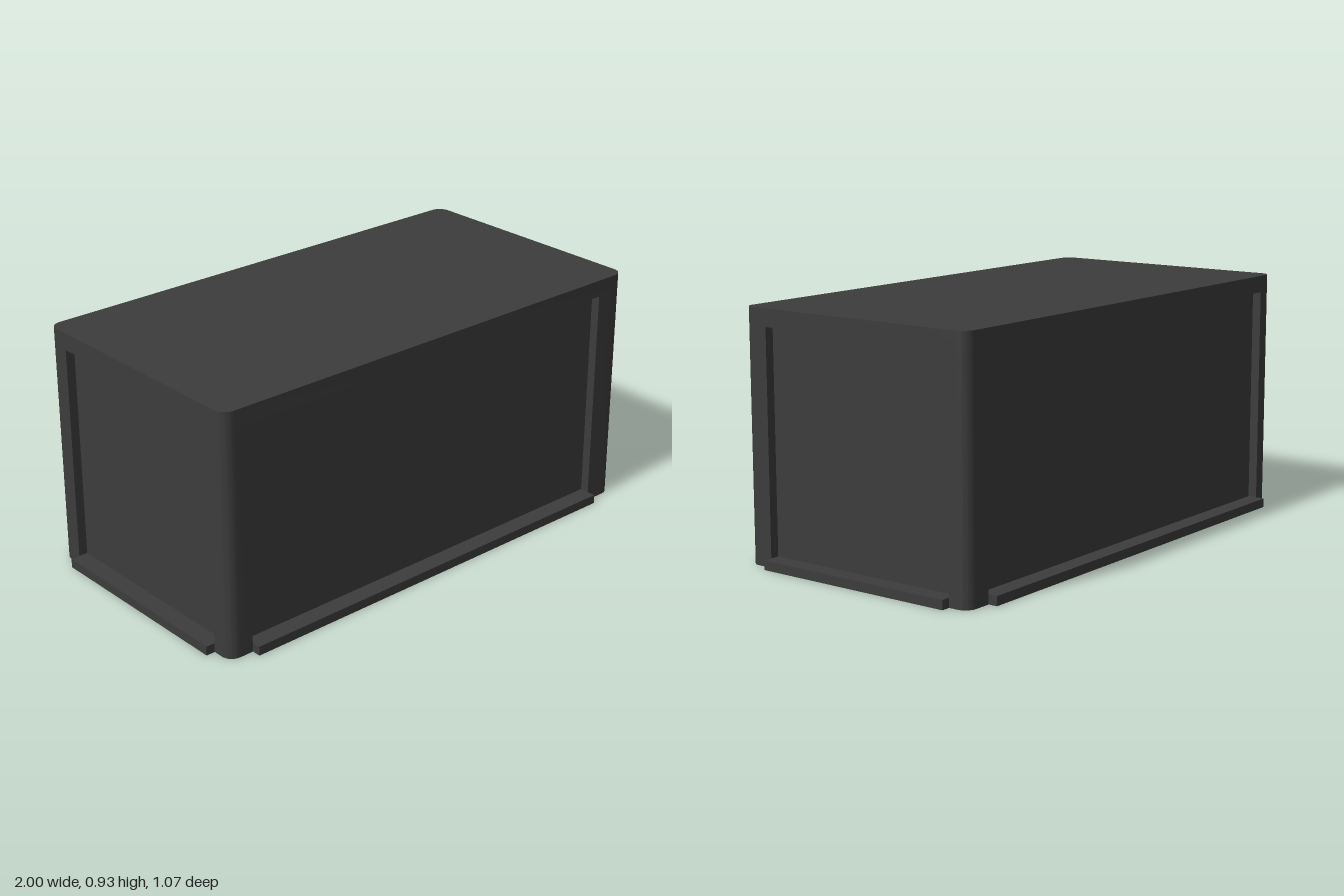
import * as THREE from 'three';
import { toCreasedNormals } from 'three/addons/utils/BufferGeometryUtils.js';

const HX = 0.965, HZ = 0.5, RADIUS = 0.045; // half width, half depth, corner radius
const HEIGHT = 0.93, LIP = 0.035, PANEL_TOP = 0.865, STEP = 0.035;

// Rounded plan whose four side panels are moved outwards by `step` (negative = recessed).
// Shape y points to the back (-z).
function plan(step) {
  const s = new THREE.Shape();
  const panel = (points) => { if (step !== 0) points.forEach(([x, y]) => s.lineTo(x, y)); };
  const corner = (sx, sy, start) =>
    s.absarc(sx * (HX - RADIUS), sy * (HZ - RADIUS), RADIUS, start, start + Math.PI / 2, false);
  const z = HZ + step, x = HX + step;

  s.moveTo(-HX + RADIUS, -HZ);
  panel([[-0.865, -HZ], [-0.865, -z], [0.835, -z], [0.835, -HZ]]); // front
  corner(1, -1, -Math.PI / 2);
  panel([[HX, -0.395], [x, -0.395], [x, 0.42], [HX, 0.42]]); // left side (+x)
  corner(1, 1, 0);
  panel([[0.855, HZ], [0.855, z], [-0.885, z], [-0.885, HZ]]); // back
  corner(-1, 1, Math.PI / 2);
  panel([[-HX, 0.4], [-x, 0.4], [-x, -0.415], [-HX, -0.415]]); // right side (-x)
  corner(-1, -1, Math.PI);
  return s;
}

export function createModel() {
  const group = new THREE.Group();
  group.name = 'panelledBox';
  const material = new THREE.MeshStandardMaterial({ color: 0x3c3c3c });

  // One horizontal layer of the box
  const layer = (name, step, y0, y1) => {
    const geometry = new THREE.ExtrudeGeometry(plan(step), {
      depth: y1 - y0, bevelEnabled: false, curveSegments: 8,
    });
    geometry.rotateX(-Math.PI / 2);
    const mesh = new THREE.Mesh(toCreasedNormals(geometry, 0.6), material);
    mesh.position.y = y0;
    mesh.name = name;
    group.add(mesh);
  };

  layer('baseWithLips', STEP, 0, LIP);
  layer('recessedWalls', -STEP, LIP, PANEL_TOP);
  layer('topSlab', 0, PANEL_TOP, HEIGHT);
  return group;
}
